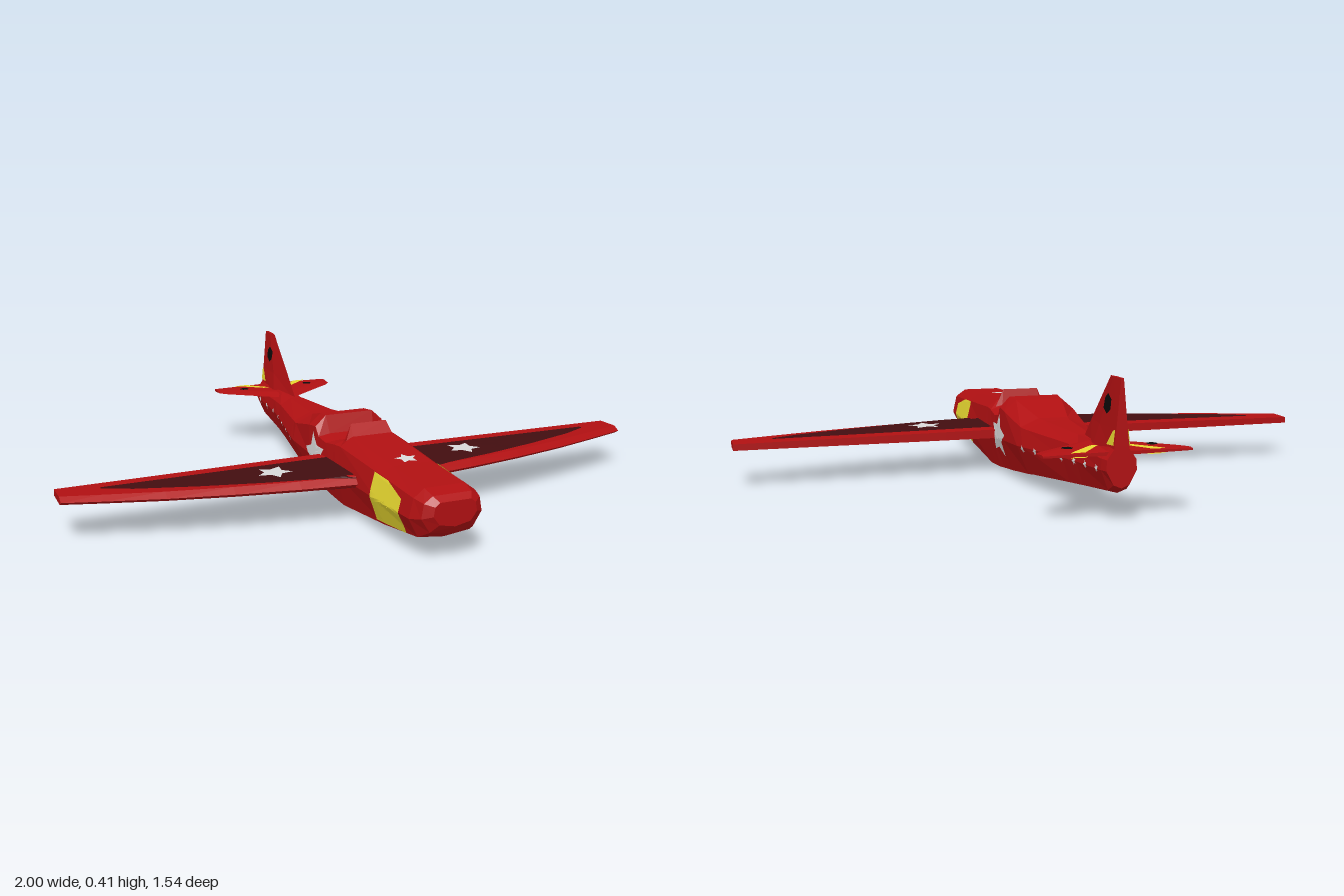
import * as THREE from 'three';

const mat = (name, color, side = THREE.FrontSide) => {
  const m = new THREE.MeshStandardMaterial({ color, side, flatShading: true });
  m.name = name;
  return m;
};

// Closed loft through equal-length loops of [x, y, z], capped at both ends, faces outward
function loft(loops) {
  const tris = [];
  const n = loops[0].length;
  for (let i = 0; i < loops.length - 1; i++) {
    for (let j = 0; j < n; j++) {
      const k = (j + 1) % n;
      const a = loops[i][j], b = loops[i][k], c = loops[i + 1][k], d = loops[i + 1][j];
      tris.push([a, d, b], [b, d, c]);
    }
  }
  const first = loops[0], last = loops[loops.length - 1];
  for (let j = 1; j < n - 1; j++) {
    tris.push([first[0], first[j], first[j + 1]], [last[0], last[j + 1], last[j]]);
  }
  const v = (p) => new THREE.Vector3(...p);
  const volume = tris.reduce((s, [a, b, c]) => s + v(a).dot(v(b).cross(v(c))), 0);
  if (volume < 0) tris.forEach((t) => t.reverse());
  const geo = new THREE.BufferGeometry();
  geo.setAttribute('position', new THREE.Float32BufferAttribute(tris.flat(2), 3));
  geo.computeVertexNormals();
  return geo;
}

// Painted marking: a polygon cut into rings and laid onto a target surface.
// axis 'x' uses (z, y) outlines seen from a side, axis 'y' uses (x, z) outlines.
function marking(name, material, target, outline, axis, sign, lift = 0.003) {
  const ray = new THREE.Raycaster();
  const toward = axis === 'x' ? new THREE.Vector3(sign, 0, 0) : new THREE.Vector3(0, sign, 0);
  const project = ([u, v]) => {
    const start = axis === 'x' ? new THREE.Vector3(sign * 2, v, u) : new THREE.Vector3(u, sign * 2, v);
    ray.set(start, toward.clone().negate());
    const hit = ray.intersectObject(target, false)[0];
    return hit ? hit.point.addScaledVector(toward, lift).toArray() : null;
  };
  const edge = [];
  const cuts = outline.length > 8 ? 2 : 8;
  outline.forEach((p, i) => {
    const q = outline[(i + 1) % outline.length];
    for (let t = 0; t < cuts; t++) edge.push([0, 1].map((k) => p[k] + ((q[k] - p[k]) * t) / cuts));
  });
  const centre = [0, 1].map((k) => outline.reduce((s, p) => s + p[k], 0) / outline.length);
  const rings = [];
  const R = 8;
  for (let r = 0; r <= R; r++) {
    rings.push(edge.map((p) => project([0, 1].map((k) => centre[k] + ((p[k] - centre[k]) * r) / R))));
  }
  const pos = [];
  const add = (...t) => { if (t.every(Boolean)) pos.push(...t.flat()); };
  for (let r = 0; r < R; r++) {
    for (let j = 0; j < edge.length; j++) {
      const k = (j + 1) % edge.length;
      if (r > 0) add(rings[r][j], rings[r + 1][j], rings[r][k]);
      add(rings[r][k], rings[r + 1][j], rings[r + 1][k]);
    }
  }
  // Wind the faces so they look away from the surface
  const geo = new THREE.BufferGeometry();
  for (let i = 0; i < pos.length; i += 9) {
    const [a, b, c] = [0, 3, 6].map((o) => new THREE.Vector3().fromArray(pos, i + o));
    if (b.clone().sub(a).cross(c.clone().sub(a)).dot(toward) < 0) {
      b.toArray(pos, i + 6);
      c.toArray(pos, i + 3);
    }
  }
  geo.setAttribute('position', new THREE.Float32BufferAttribute(pos, 3));
  geo.computeVertexNormals();
  const mesh = new THREE.Mesh(geo, material);
  mesh.name = name;
  return mesh;
}

const round = (u, v, r, n, turn, inner = 1) => Array.from({ length: n }, (_, i) => {
  const a = turn + (i * 2 * Math.PI) / n;
  const d = i % 2 ? r * inner : r;
  return [u + d * Math.cos(a), v + d * Math.sin(a)];
});
const star = (u, v, r, turn) => round(u, v, r, 10, turn, 0.52);

export function createModel() {
  const group = new THREE.Group();
  const red = mat('red paint', 0xb01012);
  const maroon = mat('dark maroon panel', 0x420d10, THREE.DoubleSide);
  const yellow = mat('yellow paint', 0xe6d630, THREE.DoubleSide);
  const white = mat('white paint', 0xd8d8d8, THREE.DoubleSide);
  const black = mat('black paint', 0x0a0a0a, THREE.DoubleSide);
  const solid = (name, loops, material = red) => {
    const mesh = new THREE.Mesh(loft(loops), material);
    mesh.name = name;
    group.add(mesh);
    return mesh;
  };

  // Fuselage stations: z, bottom y, bottom w, side y, side w, shoulder y, shoulder w, top y, top w
  const stations = [
    [0.772, 0.115, 0.05, 0.15, 0.07, 0.178, 0.065, 0.19, 0.05],
    [0.75, 0.088, 0.07, 0.14, 0.098, 0.185, 0.09, 0.205, 0.062],
    [0.705, 0.062, 0.085, 0.13, 0.115, 0.19, 0.1, 0.216, 0.066],
    [0.5, 0.034, 0.093, 0.125, 0.122, 0.198, 0.103, 0.224, 0.066],
    [0.21, 0.004, 0.098, 0.122, 0.126, 0.212, 0.112, 0.242, 0.07],
    [0.165, 0.005, 0.098, 0.122, 0.126, 0.208, 0.114, 0.218, 0.08],
    [0.1, 0.008, 0.098, 0.124, 0.126, 0.198, 0.118, 0.202, 0.08],
    [0.048, 0.012, 0.096, 0.126, 0.126, 0.205, 0.12, 0.212, 0.08],
    [0.026, 0.014, 0.095, 0.128, 0.126, 0.235, 0.122, 0.27, 0.085],
    [-0.03, 0.018, 0.093, 0.13, 0.126, 0.228, 0.122, 0.264, 0.08],
    [-0.18, 0.032, 0.085, 0.135, 0.124, 0.195, 0.112, 0.222, 0.05],
    [-0.22, 0.037, 0.08, 0.137, 0.118, 0.192, 0.104, 0.219, 0.042],
    [-0.47, 0.058, 0.046, 0.143, 0.07, 0.188, 0.06, 0.211, 0.02],
    [-0.56, 0.066, 0.036, 0.146, 0.058, 0.186, 0.052, 0.215, 0.022],
    [-0.74, 0.086, 0.028, 0.152, 0.05, 0.185, 0.048, 0.222, 0.02],
    [-0.772, 0.105, 0.024, 0.154, 0.046, 0.185, 0.044, 0.222, 0.018],
  ];
  const fuselage = solid('fuselage', stations.map(([z, yb, wb, ym, wm, ys, ws, yt, wt]) => [
    [0, yb - 0.002, z], [wb, yb + 0.008, z], [wm, ym, z], [ws, ys, z], [wt, yt, z],
    [-wt, yt, z], [-ws, ys, z], [-wm, ym, z], [-wb, yb + 0.008, z],
  ]));

  // Windscreen wedge in front of the open cockpit
  solid('windscreen', [[0.215, 0.241, 0.07], [0.182, 0.276, 0.062], [0.168, 0.222, 0.07]].map(([z, y, w]) => [
    [w + 0.03, 0.205, z], [w, y, z], [-w, y, z], [-w - 0.03, 0.205, z],
  ]));

  // Tail fin, thin at the top and thick at the root
  const fin = solid('tailFin', [
    [0.19, -0.455, -0.62, 0.034, 0.026], [0.27, -0.535, -0.65, 0.02, 0.017], [0.413, -0.685, -0.72, 0.006, 0.004],
  ].map(([y, lead, mid, w, wt]) => [
    [0, y, lead], [w, y, mid], [wt, y, -0.772], [-wt, y, -0.772], [-w, y, mid],
  ]));

  // Left and right sides mirror each other
  const wingEdge = [[0, 0.385], [0.12, 0.372], [0.3, 0.348], [0.5, 0.312], [0.7, 0.267], [0.88, 0.215], [1, 0.178]];
  const wingPanel = [[0.1, 0.12], [0.87, 0.12], [0.87, 0.135], [0.78, 0.18], [0.6, 0.24], [0.4, 0.295], [0.1, 0.36]];
  for (const s of [1, -1]) {
    const side = s > 0 ? 'left' : 'right';
    const flip = (pts) => pts.map(([u, v]) => [u * s, v]);

    // Wing
    const wing = solid(side + 'Wing', wingEdge.map(([x, lead]) => {
      const top = 0.155 - 0.008 * x, low = 0.12 + 0.002 * x;
      return [
        [s * x, 0.134, lead], [s * x, top, lead - 0.025], [s * x, top - 0.002, 0.07],
        [s * x, low + 0.002, 0.07], [s * x, low, lead - 0.02],
      ];
    }));
    group.add(
      marking(side + 'WingTopPanel', maroon, wing, flip(wingPanel), 'y', 1, 0.002),
      marking(side + 'WingBottomPanel', maroon, wing, flip(wingPanel), 'y', -1, 0.002),
      marking(side + 'WingStar', white, wing, star(s * 0.34, 0.21, 0.06, Math.PI / 2), 'y', 1, 0.005),
    );

    // Tailplane
    const tail = solid(side + 'Tailplane', [[0, -0.51, 0.012], [0.06, -0.555, 0.01], [0.205, -0.665, 0.006], [0.226, -0.69, 0.005]]
      .map(([x, lead, t]) => [
        [s * x, 0.2, lead], [s * x, 0.2 + t, lead - 0.05], [s * x, 0.2 + t / 2, -0.754],
        [s * x, 0.2 - t / 2, -0.754], [s * x, 0.2 - t, lead - 0.05],
      ]));
    for (const up of [1, -1]) {
      group.add(
        marking(side + 'TailplaneStripe', yellow, tail, flip([[0.03, -0.665], [0.055, -0.665], [0.145, -0.752], [0.1, -0.752]]), 'y', up),
      );
    }
    group.add(marking(side + 'TailplaneDot', black, tail, round(s * 0.13, -0.682, 0.018, 6, 0), 'y', 1));

    // Markings on the fin and fuselage side
    group.add(
      marking(side + 'FinDot', black, fin, round(-0.7, 0.335, 0.029, 6, Math.PI / 2), 'x', s),
      marking(side + 'FinStripe', yellow, fin, [[-0.72, 0.222], [-0.77, 0.225], [-0.77, 0.27], [-0.755, 0.265]], 'x', s),
      marking(side + 'NosePanel', yellow, fuselage, [[0.46, 0.046], [0.46, 0.2], [0.55, 0.197], [0.645, 0.17], [0.645, 0.063]], 'x', s),
      marking(side + 'FuselageStar', white, fuselage, star(0.028, 0.138, 0.078, Math.PI - 0.14), 'x', s),
    );
    for (let i = 0; i < 7; i++) {
      group.add(marking(side + 'SmallStar', white, fuselage, star(-0.22 - i * 0.082, 0.13 + i * 0.004, 0.013, 0), 'x', s));
    }
  }

  // Star on top of the nose
  group.add(marking('noseStar', white, fuselage, star(0, 0.46, 0.038, -Math.PI / 2), 'y', 1));
  return group;
}
